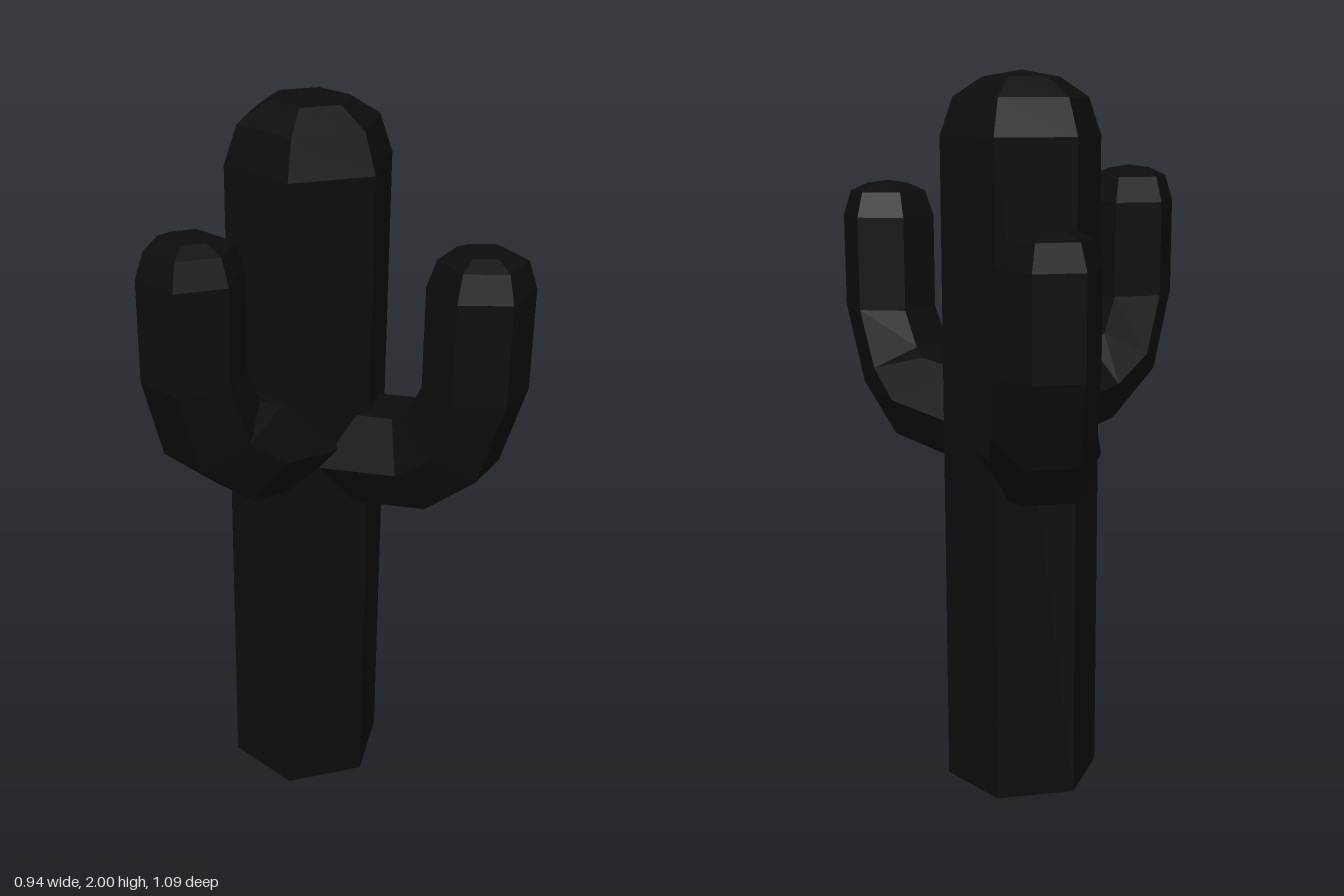
import * as THREE from 'three';

const SIDES = 6;
const CENTER = new THREE.Vector3(0.02, 0, 0.03);
const material = new THREE.MeshStandardMaterial({ color: 0x0c0c0c, flatShading: true });

// Arm cross-sections: distance out from trunk axis, height, tilt in degrees, radius, sideways shift
const ARM = [
  [0.08, 0.985, 5, 0.15, 0],
  [0.308, 1.025, 24, 0.149, 0],
  [0.405, 1.102, 59, 0.139, -0.025],
  [0.46, 1.265, 90, 0.133, -0.025],
  [0.46, 1.53, 90, 0.133, -0.025],
  [0.46, 1.6, 90, 0.11, -0.025],
  [0.46, 1.622, 90, 0.06, -0.025],
  [0.46, 1.63, 90, 0, -0.025],
];

// Hexagonal arm that leaves the trunk, bends upward and ends in a rounded cap
function makeArm(name, degrees, reach, lift, shift) {
  const a = THREE.MathUtils.degToRad(degrees);
  const out = new THREE.Vector3(Math.cos(a), 0, Math.sin(a));
  const side = new THREE.Vector3(out.z, 0, -out.x);
  const positions = [];
  const index = [];
  ARM.forEach(([s, y, tilt, r, lat], i) => {
    const t = THREE.MathUtils.degToRad(tilt);
    const up = out.clone().multiplyScalar(-Math.sin(t)).setY(Math.cos(t));
    const c = CENTER.clone()
      .addScaledVector(out, s + reach)
      .addScaledVector(side, lat + shift);
    c.y = y + lift;
    for (let k = 0; k < SIDES; k++) {
      const p = (k / SIDES) * Math.PI * 2;
      const v = c.clone()
        .addScaledVector(side, r * Math.cos(p))
        .addScaledVector(up, r * Math.sin(p));
      positions.push(v.x, v.y, v.z);
      if (i === 0) continue;
      const n = (k + 1) % SIDES;
      const lo = (i - 1) * SIDES;
      const hi = i * SIDES;
      index.push(lo + k, lo + n, hi + k);
      if (r > 0) index.push(lo + n, hi + n, hi + k);
    }
  });
  const geometry = new THREE.BufferGeometry();
  geometry.setAttribute('position', new THREE.Float32BufferAttribute(positions, 3));
  geometry.setIndex(index);
  geometry.computeVertexNormals();
  const mesh = new THREE.Mesh(geometry, material);
  mesh.name = name;
  return mesh;
}

// Hexagonal trunk with a domed top
function makeTrunk() {
  const profile = [[0, 0], [0.22, 0], [0.22, 1.83], [0.185, 1.93], [0.105, 1.982], [0, 2]]
    .map(([r, y]) => new THREE.Vector2(r, y));
  const mesh = new THREE.Mesh(new THREE.LatheGeometry(profile, SIDES, Math.PI / 6), material);
  mesh.position.copy(CENTER);
  mesh.name = 'trunk';
  return mesh;
}

export function createModel() {
  const group = new THREE.Group();
  group.name = 'cactus';
  group.add(
    makeTrunk(),
    makeArm('backArm', -90, 0, 0, 0),
    makeArm('leftArm', 48, 0.04, 0.065, 0.003),
    makeArm('rightArm', 150, -0.04, 0.11, 0.035),
  );
  return group;
}
